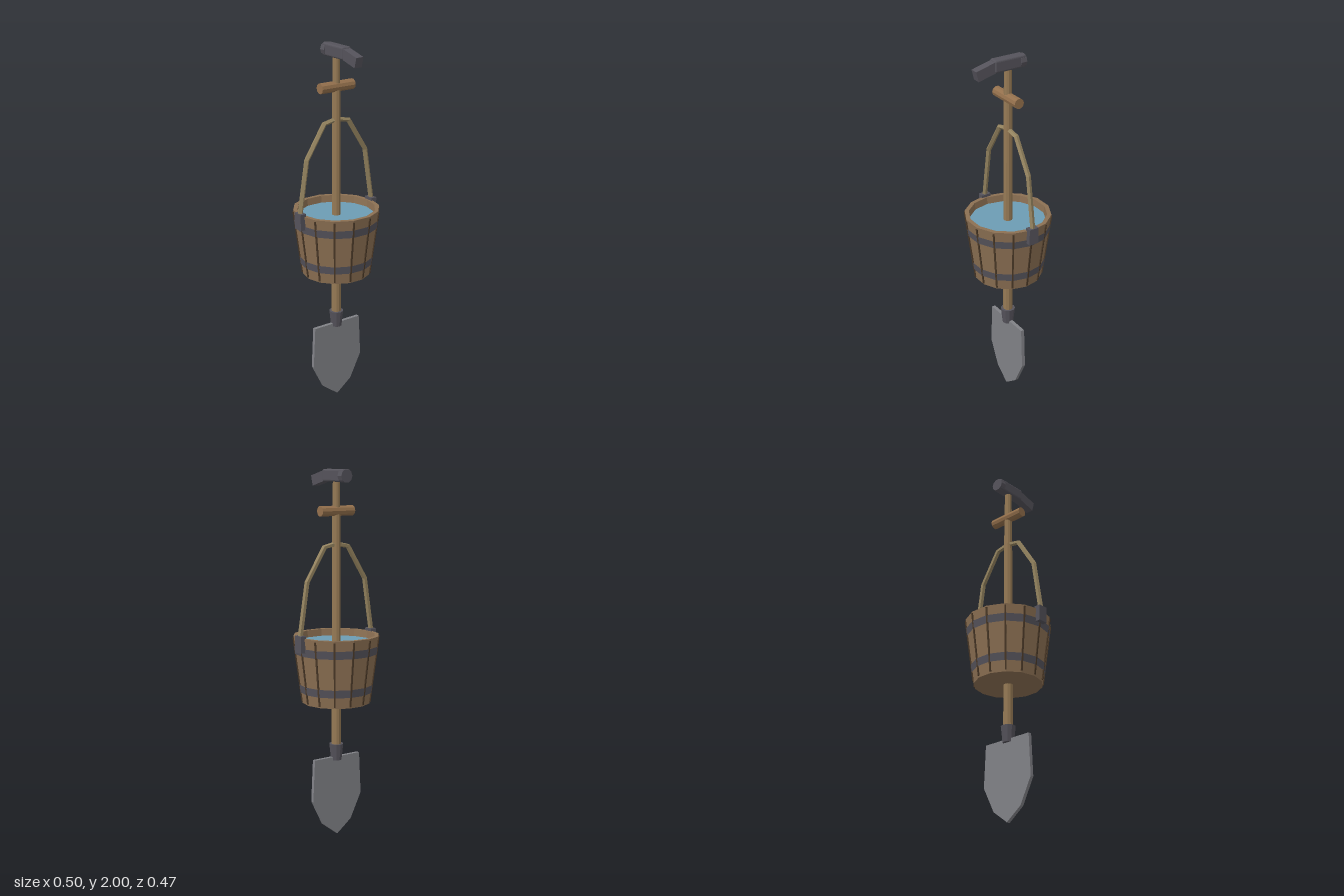
import * as THREE from 'three';
import { RoundedBoxGeometry } from 'three/addons/geometries/RoundedBoxGeometry.js';

const paint = (color, side = THREE.FrontSide) =>
  new THREE.MeshStandardMaterial({ color, flatShading: true, side });

// Straight runs between the given points, one tube segment per run
class PolyCurve extends THREE.Curve {
  constructor(points) { super(); this.points = points; }
  getPoint(t, target = new THREE.Vector3()) {
    const n = this.points.length - 1;
    const i = Math.min(Math.floor(t * n + 1e-9), n - 1);
    return target.lerpVectors(this.points[i], this.points[i + 1], t * n - i);
  }
  getPointAt(t, target) { return this.getPoint(t, target); }
  getTangentAt(t, target) { return this.getTangent(t, target); }
}

export function createModel() {
  const model = new THREE.Group();
  const wood = paint(0x8c7053), pole = paint(0x967a55), grip = paint(0x94704c);
  const bail = paint(0x94835f), dark = paint(0x4c3a28), iron = paint(0x55535b);
  const steel = paint(0x808186), water = paint(0x6c9cb3);

  const add = (name, geometry, material, x = 0, y = 0, z = 0, parent = model) => {
    const mesh = new THREE.Mesh(geometry, material);
    mesh.name = name;
    mesh.position.set(x, y, z);
    parent.add(mesh);
    return mesh;
  };

  // Bucket: 14 staves, with a corner on each side
  const N = 14, start = Math.PI / N, y0 = 0.75, y1 = 1.12, r0 = 0.185, r1 = 0.234;
  const radiusAt = y => r0 + (r1 - r0) * (y - y0) / (y1 - y0);
  const profile = [[0, y0], [r0, y0], [r1, y1], [0.211, y1], [0.19, 0.95], [0, 0.95]]
    .map(([r, y]) => new THREE.Vector2(r, y));
  add('bucket', new THREE.LatheGeometry(profile, N, start), wood);
  add('water', new THREE.CylinderGeometry(0.206, 0.2, 0.03, N, 1, false, start), water, 0, 1.067);

  // Dark seams between the staves
  const seams = new THREE.Group();
  seams.name = 'staveSeams';
  model.add(seams);
  const lean = Math.atan2(r1 - r0, y1 - y0);
  for (let i = 0; i < N; i++) {
    const turn = new THREE.Group();
    turn.rotation.y = start + i * 2 * Math.PI / N;
    seams.add(turn);
    const seam = add('seam', new THREE.BoxGeometry(0.009, 0.355, 0.01), dark,
      0, 0.935, radiusAt(0.935), turn);
    seam.rotation.x = lean;
  }

  // Iron hoops
  for (const [name, low, high] of [['lowerHoop', 0.81, 0.853], ['upperHoop', 1.022, 1.065]]) {
    add(name, new THREE.CylinderGeometry(radiusAt(high) + 0.005, radiusAt(low) + 0.005,
      high - low, N, 1, true, start), paint(0x55535b, THREE.DoubleSide), 0, (low + high) / 2);
  }

  // Lugs and bucket handle
  for (const s of [-1, 1])
    add(s > 0 ? 'leftLug' : 'rightLug', new THREE.BoxGeometry(0.034, 0.09, 0.056), iron, s * 0.234, 1.09);
  const half = [[0.238, 1.11], [0.19, 1.415], [0.077, 1.593], [0, 1.608]];
  const arch = [...half.map(([x, y]) => [-x, y]), ...half.slice(0, 3).reverse()]
    .map(([x, y]) => new THREE.Vector3(x, y, 0));
  add('bucketHandle', new THREE.TubeGeometry(new PolyCurve(arch), 6, 0.014, 5), bail);

  // Shaft through the bucket, with cross grip
  add('shaft', new THREE.CylinderGeometry(0.0225, 0.027, 1.3, 10), pole, 0, 1.13);
  add('crossGrip', new THREE.CylinderGeometry(0.028, 0.028, 0.21, 10), grip, 0, 1.782)
    .rotation.z = Math.PI / 2;
  add('hammerHandle', new THREE.CylinderGeometry(0.019, 0.022, 0.2, 10), pole, 0, 1.86);

  // Hammer head
  const hammer = new THREE.Group();
  hammer.name = 'hammerHead';
  model.add(hammer);
  add('hammerBody', new RoundedBoxGeometry(0.056, 0.066, 0.182, 2, 0.01), iron, 0, 1.967, 0, hammer);
  add('hammerFace', new THREE.CylinderGeometry(0.036, 0.036, 0.034, 10, 1, false, Math.PI / 10),
    iron, 0, 1.965, -0.076, hammer).rotation.x = Math.PI / 2;
  add('hammerClaw', new THREE.BoxGeometry(0.045, 0.056, 0.13), iron, 0, 1.953, 0.129, hammer)
    .rotation.x = 0.25;

  // Spade socket and pointed blade
  add('spadeSocket', new THREE.CylinderGeometry(0.04, 0.03, 0.09, 10), iron, 0, 0.47);
  const outline = new THREE.Shape([[0, 0], [0.092, 0.07], [0.162, 0.21], [0.15, 0.443],
    [-0.15, 0.443], [-0.162, 0.21], [-0.092, 0.07]].map(([x, y]) => new THREE.Vector2(x, y)));
  add('spadeBlade', new THREE.ExtrudeGeometry(outline, { depth: 0.02, bevelEnabled: false }),
    steel, 0, 0, -0.01);

  return model;
}
